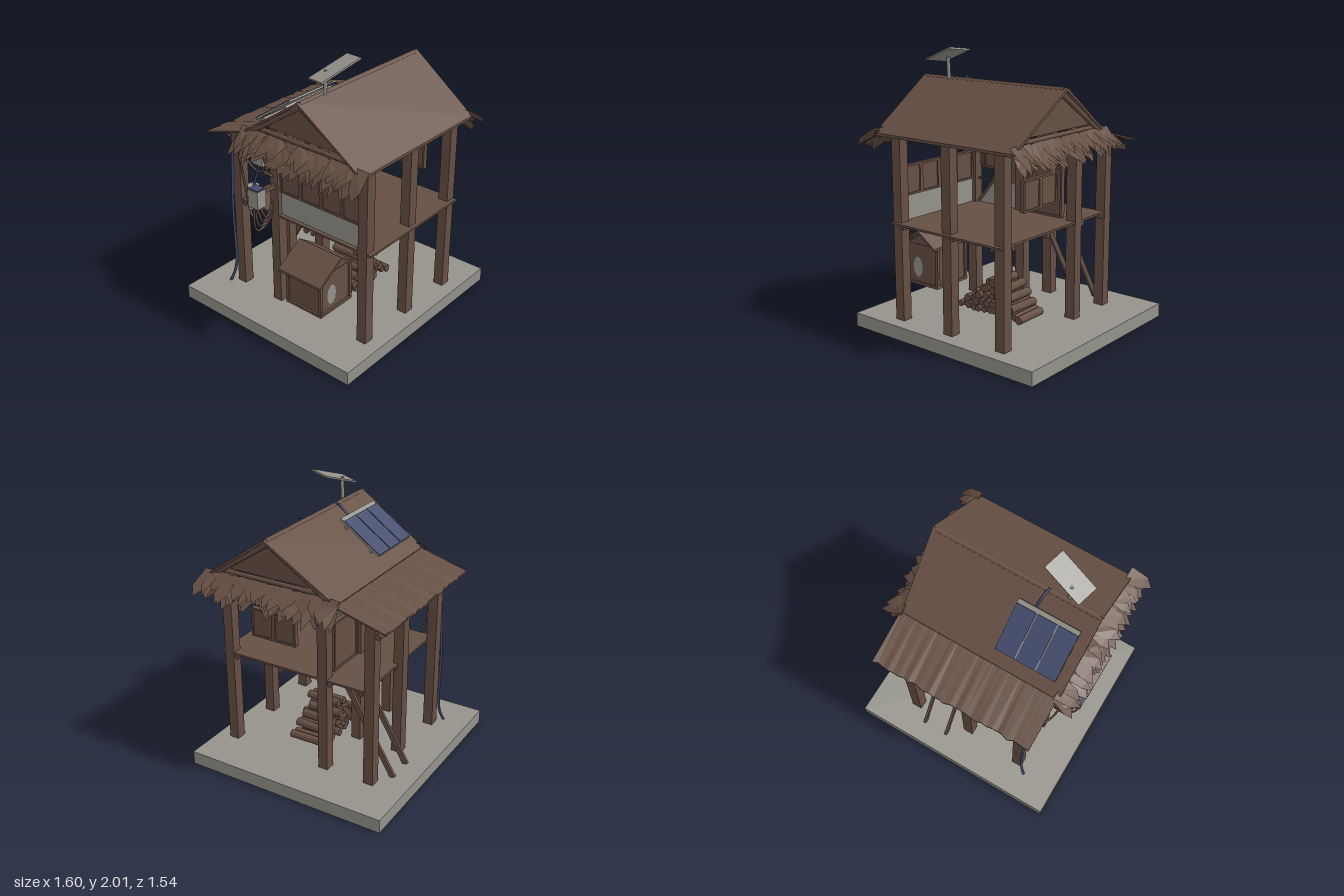
import * as THREE from 'three';

const material = (name, color) => {
  const m = new THREE.MeshStandardMaterial({ color, side: THREE.DoubleSide });
  m.name = name;
  return m;
};

export function createModel() {
  const root = new THREE.Group();
  root.name = 'stiltHut';
  const brown = material('weathered wood', 0x664f44);
  const grey = material('grey concrete and metal', 0x94928a);
  const blue = material('solar blue', 0x424b6c);

  let seed = 7;
  const rnd = () => (seed = (seed * 16807) % 2147483647) / 2147483647;
  const V = (x, y, z) => new THREE.Vector3(x, y, z);

  const add = (name, geo, mat, x = 0, y = 0, z = 0) => {
    const m = new THREE.Mesh(geo, mat);
    m.name = name;
    m.position.set(x, y, z);
    root.add(m);
    return m;
  };
  // box given by its limits on each axis
  const box = (name, mat, x0, x1, y0, y1, z0, z1) =>
    add(name, new THREE.BoxGeometry(x1 - x0, y1 - y0, z1 - z0), mat, (x0 + x1) / 2, (y0 + y1) / 2, (z0 + z1) / 2);
  const rod = (name, mat, a, b, r, sides = 10) => {
    const m = add(name, new THREE.CylinderGeometry(r, r, a.distanceTo(b), sides), mat);
    m.position.copy(a).lerp(b, 0.5);
    m.quaternion.setFromUnitVectors(V(0, 1, 0), b.clone().sub(a).normalize());
    return m;
  };
  const cable = (name, mat, r, ...pts) =>
    add(name, new THREE.TubeGeometry(new THREE.CatmullRomCurve3(pts.map(p => V(...p))), 24, r, 6), mat);
  // sheet between an upper and a lower edge, both running from left to right
  const sheet = (name, mat, top, low, t) => {
    const p = [];
    const quad = (a, b, c, d) => [a, b, c, a, c, d].forEach(v => p.push(...v));
    const drop = v => [v[0], v[1] - t, v[2]];
    const n = top.length - 1;
    for (let i = 0; i < n; i++) {
      const [a, b, c, d] = [top[i], low[i], low[i + 1], top[i + 1]];
      quad(a, b, c, d);
      quad(drop(d), drop(c), drop(b), drop(a));
      quad(b, drop(b), drop(c), c);
      quad(d, drop(d), drop(a), a);
    }
    quad(top[0], drop(top[0]), drop(low[0]), low[0]);
    quad(low[n], drop(low[n]), drop(top[n]), top[n]);
    const g = new THREE.BufferGeometry();
    g.setAttribute('position', new THREE.Float32BufferAttribute(p, 3));
    g.computeVertexNormals();
    return add(name, g, mat);
  };

  // ground slab and posts
  box('groundSlab', grey, -0.8, 0.8, 0, 0.1, -0.77, 0.77);
  for (const x of [-0.455, 0, 0.455]) {
    const back = x === 0 ? -0.477 : -0.505;
    for (const [z, h] of [[0.632, 1.44], [-0.142, 1.46], [back, 1.36]])
      box('post', brown, x - 0.039, x + 0.039, 0.1, h, z - 0.037, z + 0.037);
  }

  // deck with joists
  box('deck', brown, -0.49, 0.49, 0.8, 0.815, -0.475, 0.7);
  for (const z of [0.57, 0.2, -0.2, -0.44])
    rod('joist', brown, V(-0.49, 0.785, z), V(0.49, 0.785, z), 0.017);
  for (const x of [-0.4, 0.05, 0.4])
    rod('joist', brown, V(x, 0.785, 0.68), V(x, 0.785, -0.47), 0.015);

  // ladder rails at the back
  for (const x of [0.14, 0.33]) {
    const rail = add('ladderRail', new THREE.BoxGeometry(0.02, 0.79, 0.04), brown, x, 0.44, -0.41);
    rail.rotation.x = Math.atan2(0.4, 0.67);
  }

  // main roof
  sheet('frontRoof', brown, [[-0.62, 1.785, 0.2], [0.635, 1.785, 0.2]], [[-0.61, 1.43, 0.71], [0.6, 1.43, 0.71]], 0.02);
  sheet('backRoof', brown, [[0.635, 1.785, 0.2], [-0.62, 1.785, 0.2]], [[0.59, 1.435, -0.31], [-0.61, 1.435, -0.31]], 0.02);
  rod('ridgePole', brown, V(-0.6, 1.765, 0.2), V(0.61, 1.765, 0.2), 0.022);

  // lean-to roof with a ragged lower edge
  const upper = [], lower = [];
  for (let i = 0; i <= 30; i++) {
    const x = 0.6 - i * 0.04;
    upper.push([x, 1.455, -0.22]);
    lower.push([x, 1.33 - rnd() * 0.012, -0.66 - rnd() * 0.022]);
  }
  sheet('leanToRoof', brown, upper, lower, 0.012);
  rod('eavePole', brown, V(-0.44, 1.278, -0.6), V(0.56, 1.278, -0.6), 0.022);

  // gables with rafters and ragged thatch skirts
  const gable = new THREE.Shape([[-0.2, 1.5], [0.6, 1.5], [0.2, 1.75]].map(p => new THREE.Vector2(-p[0], p[1])));
  for (const s of [-1, 1]) {
    const g = add('gable', new THREE.ExtrudeGeometry(gable, { depth: 0.015, bevelEnabled: false }), brown, s * 0.55, 0, 0);
    g.rotation.y = Math.PI / 2;
    for (const z of [0.68, -0.28])
      rod('rafter', brown, V(s * 0.585, 1.745, 0.2), V(s * 0.575, 1.425, z), 0.018);
    rod('tieBeam', brown, V(s * 0.56, 1.475, 0.6), V(s * 0.56, 1.475, -0.2), 0.016);
    const p = [];
    for (let layer = 0; layer < 3; layer++)
      for (let i = 0; i < 24; i++) {
        const z = -0.31 + i * 0.0425 + rnd() * 0.03;
        const w = 0.03 + rnd() * 0.03;
        const reach = 0.07 + rnd() * 0.09, fall = 0.07 + rnd() * 0.07;
        const y = 1.47 - layer * 0.02, x = 0.58, lean = (rnd() - 0.5) * 0.1;
        const a = [s * x, y, z - w], b = [s * x, y - 0.02 * rnd(), z + w];
        const c = [s * (x + reach * 0.8), y - fall * 0.7, z + w + lean * 0.5];
        const d = [s * (x + reach * 0.7), y - fall * 0.75, z - w * 0.8 + lean * 0.5];
        const e = [s * (x + reach + 0.02), y - fall - 0.02, z + lean];
        [a, b, c, a, c, d, d, c, e].forEach(v => p.push(...v));
      }
    const thatch = new THREE.BufferGeometry();
    thatch.setAttribute('position', new THREE.Float32BufferAttribute(p, 3));
    thatch.computeVertexNormals();
    add('thatchSkirt', thatch, brown);
  }

  // framed shutter in the x or z plane
  const shutter = (axis, at, a0, a1, y0, y1) => {
    const part = (name, u0, u1, v0, v1, d) => axis === 'x'
      ? box(name, brown, at - d, at + d, v0, v1, u0, u1)
      : box(name, brown, u0, u1, v0, v1, at - d, at + d);
    const f = 0.014;
    part('shutterPanel', a0, a1, y0, y1, 0.008);
    part('shutterFrame', a0, a0 + f, y0, y1, 0.018);
    part('shutterFrame', a1 - f, a1, y0, y1, 0.018);
    part('shutterFrame', a0 + f, a1 - f, y0, y0 + f, 0.018);
    part('shutterFrame', a0 + f, a1 - f, y1 - f, y1, 0.018);
  };

  // right side wall, open side shutters and back wall
  box('sideSheet', grey, -0.462, -0.448, 0.815, 1, -0.105, 0.6);
  for (const [a, b] of [[-0.105, 0.08], [0.08, 0.26], [0.26, 0.44], [0.44, 0.6]]) shutter('x', -0.455, a, b, 0.99, 1.205);
  shutter('x', 0.455, 0.08, 0.26, 0.985, 1.2);
  shutter('x', 0.455, 0.26, 0.44, 0.985, 1.2);
  shutter('z', -0.142, 0.05, 0.36, 0.815, 1.18);
  box('backWallBoard', brown, -0.145, -0.035, 1, 1.31, -0.15, -0.134);
  shutter('z', -0.142, -0.38, -0.145, 1.08, 1.31);
  shutter('z', -0.12, -0.33, -0.2, 1.09, 1.27);
  const low = new THREE.Shape([[-0.41, 0.815], [-0.035, 0.815], [-0.035, 1], [-0.27, 1]].map(p => new THREE.Vector2(...p)));
  add('backSheet', new THREE.ExtrudeGeometry(low, { depth: 0.012, bevelEnabled: false }), grey, 0, 0, -0.148);
  rod('backBrace', brown, V(-0.41, 0.82, -0.14), V(-0.27, 0.99, -0.14), 0.012);
  rod('backRail', brown, V(-0.42, 0.995, -0.142), V(-0.04, 0.995, -0.142), 0.007);

  // hutch with a pitched roof
  box('hutch', brown, -0.64, -0.34, 0.29, 0.58, 0.11, 0.4);
  box('hutchBase', brown, -0.655, -0.33, 0.28, 0.3, 0.1, 0.415);
  for (const x of [-0.64, -0.34]) for (const z of [0.11, 0.4])
    box('hutchCorner', brown, x - 0.012, x + 0.012, 0.29, 0.57, z - 0.012, z + 0.012);
  const attic = new THREE.Shape([[-0.64, 0.575], [-0.34, 0.575], [-0.485, 0.67]].map(p => new THREE.Vector2(...p)));
  add('hutchGable', new THREE.ExtrudeGeometry(attic, { depth: 0.28, bevelEnabled: false }), brown, 0, 0, 0.115);
  sheet('hutchRoof', brown, [[-0.485, 0.7, 0.075], [-0.485, 0.7, 0.45]], [[-0.7, 0.56, 0.075], [-0.7, 0.56, 0.45]], 0.018);
  sheet('hutchRoof', brown, [[-0.485, 0.7, 0.45], [-0.485, 0.7, 0.075]], [[-0.325, 0.59, 0.45], [-0.325, 0.59, 0.075]], 0.018);
  const patch = (x, y, z, turn) => {
    const m = add('hutchOpening', new THREE.CircleGeometry(0.06, 10), grey, x, y, z);
    m.scale.set(0.75, 1.3, 1);
    m.rotation.y = turn;
  };
  patch(-0.53, 0.41, 0.404, 0);

  // firewood pile
  [13, 10, 7, 4, 2].forEach((n, row) => {
    for (let i = 0; i < n; i++) {
      const x = 0.0 + (i - (n - 1) / 2) * 0.046 + row * 0.006, y = 0.145 + row * 0.053 + rnd() * 0.01;
      const z = 0.11 + (rnd() - 0.5) * 0.05;
      rod('log', brown, V(x, y, z - 0.13), V(x + (rnd() - 0.5) * 0.02, y, z + 0.13), 0.024 + rnd() * 0.009, 7);
    }
  });

  // solar panels on the back slope
  const solar = new THREE.Group();
  solar.name = 'solarPanels';
  const plate = (name, mat, w, h, d, x, y, z) => {
    const m = add(name, new THREE.BoxGeometry(w, h, d), mat, x, y, z);
    solar.add(m);
  };
  plate('panelFrame', grey, 0.45, 0.012, 0.375, 0, 0, 0);
  plate('panelRail', grey, 0.45, 0.016, 0.02, 0, -0.02, 0.12);
  plate('panelRail', grey, 0.45, 0.016, 0.02, 0, -0.02, -0.12);
  for (const x of [-0.153, -0.001, 0.151]) plate('solarCell', blue, 0.144, 0.009, 0.34, x, 0.008, -0.015);
  solar.position.set(-0.315, 1.626, -0.085);
  solar.rotation.x = -0.61;
  root.add(solar);
  cable('panelCable', blue, 0.008, [-0.21, 1.72, 0.07], [-0.22, 1.77, 0.14], [-0.235, 1.795, 0.2]);

  // tilted antenna plate on a mast
  rod('mast', grey, V(-0.37, 1.75, 0.215), V(-0.37, 1.935, 0.225), 0.013);
  const u = V(0.29, 0.1, 0.075), v = V(-0.04, 0.02, 0.15);
  const antenna = add('antennaPlate', new THREE.BoxGeometry(u.length(), 0.012, v.length()), grey, -0.335, 1.943, 0.268);
  const ux = u.clone().normalize(), n = v.clone().cross(u).normalize();
  antenna.quaternion.setFromRotationMatrix(new THREE.Matrix4().makeBasis(ux, n, ux.clone().cross(n)));

  // electrical boxes and cables on the right side
  box('upperMeter', grey, -0.63, -0.545, 1.24, 1.345, -0.2, -0.11);
  box('meterCap', grey, -0.637, -0.538, 1.33, 1.352, -0.21, -0.1);
  box('lowerMeter', grey, -0.725, -0.645, 0.97, 1.1, -0.16, -0.07);
  box('meterLid', blue, -0.72, -0.65, 1.1, 1.108, -0.155, -0.075);
  add('roundMeter', new THREE.CylinderGeometry(0.042, 0.042, 0.17, 16), grey, -0.64, 1.0, -0.19);
  box('meterBracket', brown, -0.65, -0.49, 1.02, 1.05, -0.15, -0.13);
  box('meterBracket', brown, -0.56, -0.49, 1.28, 1.31, -0.15, -0.13);
  for (let i = 0; i < 4; i++) {
    const x = -0.7 + i * 0.025, d = 0.73 + i * 0.025;
    cable('hangingCable', brown, 0.008, [x, 0.98, -0.13 - i * 0.02], [x + 0.01, d + 0.08, -0.14], [x + 0.08, d, -0.17], [-0.5, d + 0.06, -0.17], [-0.49, 0.92, -0.16]);
  }
  cable('dropCable', blue, 0.008, [-0.6, 1.25, -0.16], [-0.61, 1.17, -0.18], [-0.64, 1.07, -0.19]);
  for (const x of [-0.57, -0.55])
    cable('dropCable', brown, 0.008, [x, 1.25, -0.15], [x + 0.01, 1.16, -0.16], [-0.5, 1.11, -0.15]);
  cable('longCable', brown, 0.008, [-0.52, 1.2, -0.17], [-0.52, 1.12, -0.24], [-0.51, 1.15, -0.36], [-0.49, 1.26, -0.46], [-0.48, 1.28, -0.59]);
  cable('longCable', brown, 0.008, [-0.6, 0.92, -0.2], [-0.56, 0.75, -0.27], [-0.52, 0.76, -0.35], [-0.5, 0.95, -0.42], [-0.5, 1.25, -0.47]);
  cable('groundCable', blue, 0.01, [-0.5, 1.2, -0.53], [-0.505, 0.7, -0.55], [-0.5, 0.27, -0.55], [-0.51, 0.18, -0.56], [-0.54, 0.1, -0.58]);

  return root;
}
